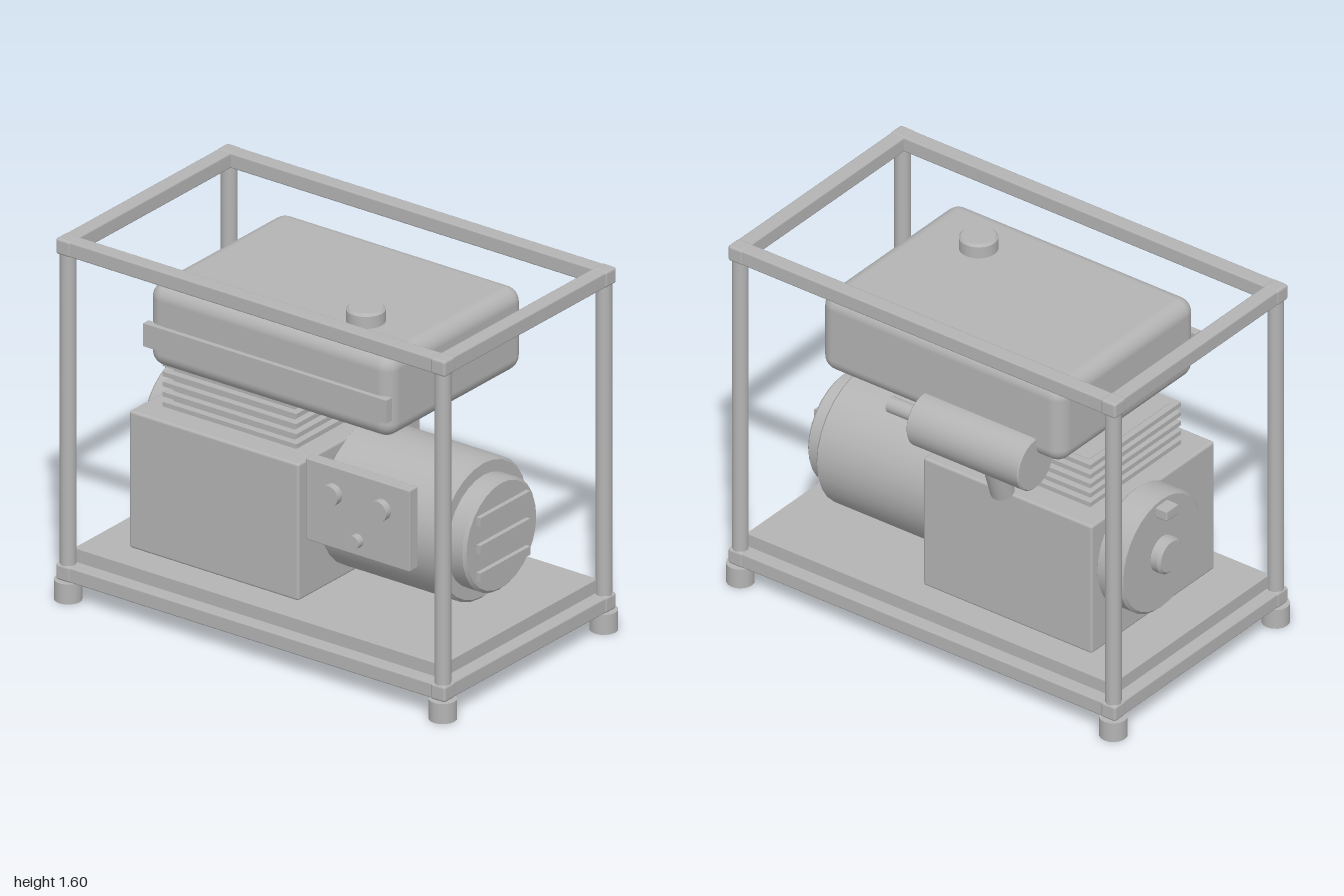
import * as THREE from 'three';
import { toCreasedNormals } from 'three/addons/utils/BufferGeometryUtils.js';
import { RoundedBoxGeometry } from 'three/addons/geometries/RoundedBoxGeometry.js';

const grey = new THREE.MeshStandardMaterial({ color: 0xb4b4b4 });
grey.name = 'grey';

function add(parent, name, geometry) {
  const mesh = new THREE.Mesh(geometry, grey);
  mesh.name = name;
  parent.add(mesh);
  return mesh;
}

// Box given by its limits on each axis, with optionally rounded edges
function box(parent, name, [x0, x1], [y0, y1], [z0, z1], radius = 0, segments = 2) {
  const size = [x1 - x0, y1 - y0, z1 - z0];
  const geometry = radius
    ? new RoundedBoxGeometry(...size, segments, radius)
    : new THREE.BoxGeometry(...size);
  const mesh = add(parent, name, geometry);
  mesh.position.set((x0 + x1) / 2, (y0 + y1) / 2, (z0 + z1) / 2);
  return mesh;
}

// Round part running from point a to point b, with chamfered rims
function rod(parent, name, a, b, radius, sides = 24, bevel = 0) {
  const from = new THREE.Vector3(...a), to = new THREE.Vector3(...b);
  const axis = to.clone().sub(from), h = axis.length() / 2;
  let geometry;
  if (bevel) {
    const profile = [[0, -h], [radius - bevel, -h], [radius, -h + bevel],
      [radius, h - bevel], [radius - bevel, h], [0, h]];
    geometry = toCreasedNormals(
      new THREE.LatheGeometry(profile.map(p => new THREE.Vector2(...p)), sides), 0.6);
  } else {
    geometry = new THREE.CylinderGeometry(radius, radius, 2 * h, sides);
  }
  const mesh = add(parent, name, geometry);
  mesh.position.copy(from).add(to).multiplyScalar(0.5);
  mesh.quaternion.setFromUnitVectors(new THREE.Vector3(0, 1, 0), axis.normalize());
  return mesh;
}

function group(parent, name) {
  const g = new THREE.Group();
  g.name = name;
  parent.add(g);
  return g;
}

export function createModel() {
  const model = new THREE.Group();
  model.name = 'portableGenerator';

  // Tubular frame: posts, feet, two rings of rails and corner joints
  const frame = group(model, 'frame');
  const X = 0.942, zs = [-0.557, 0.51], t = 0.034;
  for (const x of [-X, X]) {
    for (const z of zs) {
      rod(frame, 'post', [x, 0.1, z], [x, 1.56, z], 0.034, 16);
      rod(frame, 'foot', [x, 0, z], [x, 0.088, z], 0.058, 16);
    }
  }
  for (const y of [0.124, 1.56]) {
    for (const z of zs)
      box(frame, 'longRail', [-X, X], [y - t, y + t], [z - t, z + t], 0.008, 1);
    for (const x of [-X, X]) {
      box(frame, 'shortRail', [x - t, x + t], [y - t, y + t], zs, 0.008, 1);
      for (const z of zs)
        box(frame, 'cornerJoint', [x - 0.037, x + 0.037], [y - 0.036, y + 0.036],
          [z - 0.037, z + 0.037], 0.012);
    }
  }
  box(model, 'basePlate', [-0.925, 0.925], [0.165, 0.222], [-0.54, 0.495]);

  // Engine block with finned cylinder
  const engine = group(model, 'engine');
  box(engine, 'block', [-0.735, 0.117], [0.235, 0.84], [-0.43, 0.38], 0.012);
  box(engine, 'cylinder', [-0.615, -0.005], [0.83, 1.045], [-0.29, 0.243]);
  for (let i = 0; i < 5; i++) {
    const y = 0.855 + i * 0.0445;
    box(engine, 'coolingFin', [-0.645, 0.027], [y - 0.01, y + 0.01], [-0.322, 0.275]);
  }

  // Recoil starter on the right-hand end
  const starter = group(model, 'recoilStarter');
  rod(starter, 'cover', [-0.725, 0.615, -0.13], [-0.86, 0.615, -0.13], 0.265, 32, 0.012);
  rod(starter, 'hub', [-0.85, 0.615, -0.13], [-0.907, 0.615, -0.13], 0.08, 20, 0.012);
  box(starter, 'pullHandle', [-0.915, -0.85], [0.80, 0.85], [-0.17, -0.09], 0.008, 1);

  // Alternator with slotted end bell
  const alternator = group(model, 'alternator');
  const ay = 0.555, az = -0.065;
  rod(alternator, 'housing', [0.10, ay, az], [0.71, ay, az], 0.305, 28, 0.012);
  rod(alternator, 'endBell', [0.70, ay, az], [0.80, ay, az], 0.243, 28, 0.012);
  for (const dy of [-0.122, 0, 0.122])
    box(alternator, 'ventSlat', [0.79, 0.82], [ay + dy - 0.019, ay + dy + 0.019],
      [-0.23, 0.10]);

  // Fuel tank with filler cap and front band
  const tank = group(model, 'fuelTank');
  box(tank, 'tankBody', [-0.613, 0.61], [1.09, 1.455], [-0.474, 0.425], 0.065, 5);
  box(tank, 'frontBand', [-0.613, 0.61], [1.183, 1.284], [0.41, 0.447]);
  rod(tank, 'fillerCap', [0.305, 1.44, 0.18], [0.305, 1.517, 0.18], 0.08, 24, 0.01);

  // Muffler with tailpipe and exhaust stub
  const exhaust = group(model, 'exhaust');
  const my = 1.067, mz = -0.475;
  rod(exhaust, 'muffler', [-0.487, my, mz], [0.08, my, mz], 0.118, 24, 0.006);
  rod(exhaust, 'tailpipe', [0.05, my, mz], [0.245, my, mz], 0.035, 16);
  rod(exhaust, 'exhaustStub', [-0.29, 1.01, -0.493], [-0.29, 0.84, -0.437], 0.05, 16);

  // Control panel with knobs, clipped to the front of the frame
  const panel = group(model, 'controlPanel');
  box(panel, 'panelPlate', [0.31, 0.833], [0.64, 1.0], [0.53, 0.587], 0.006, 1);
  for (const [x, y, r] of [[0.45, 0.882, 0.045], [0.695, 0.882, 0.045], [0.572, 0.71, 0.029]])
    rod(panel, 'knob', [x, y, 0.575], [x, y, 0.62], r, 20);

  return model;
}
